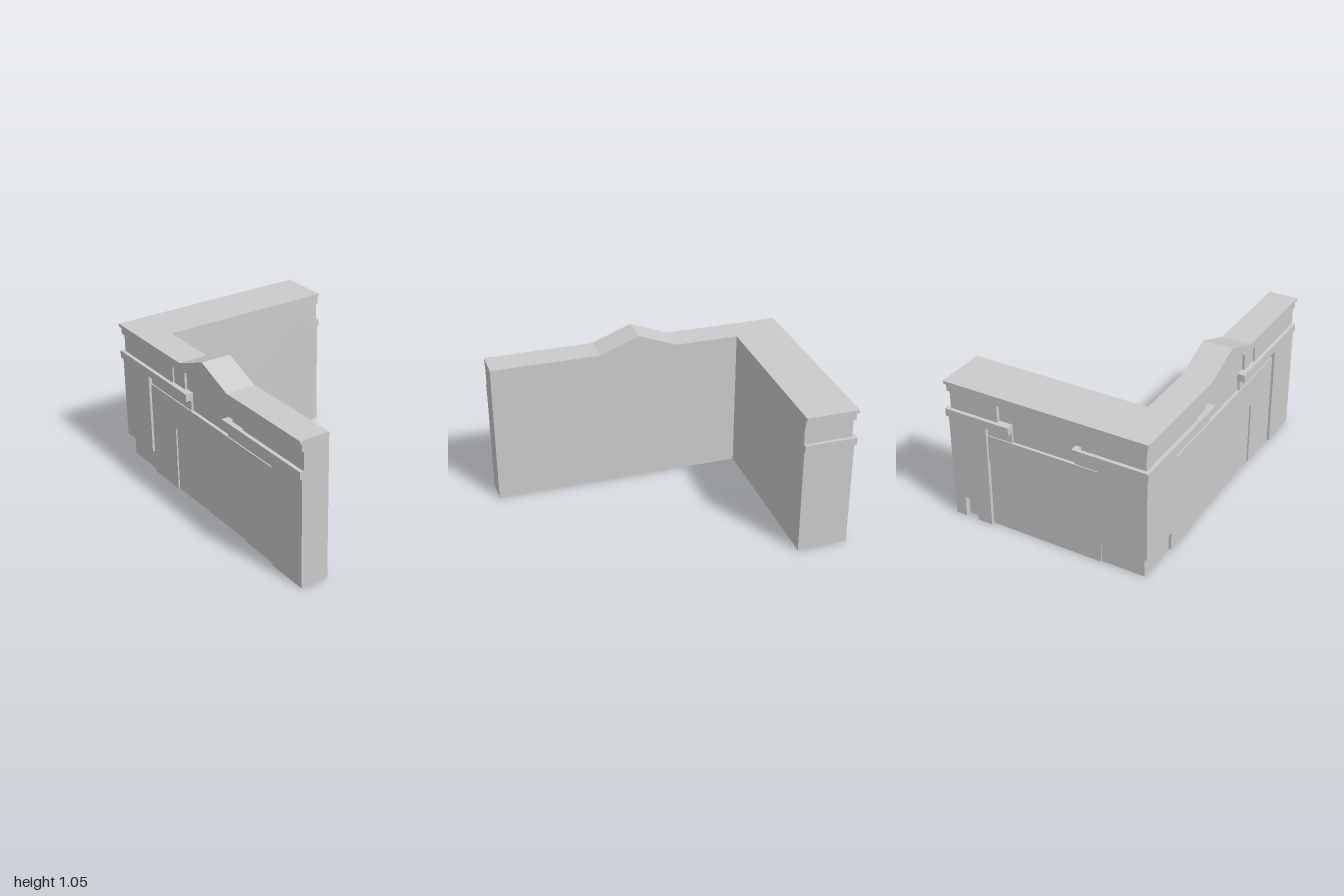
import * as THREE from 'three';

const Z = 0.685, BACK = 0.49, INNER = -0.66;

export function createModel() {
  const group = new THREE.Group();
  const material = new THREE.MeshStandardMaterial({ color: 0xcccccc });

  const add = (name, geometry) => {
    const mesh = new THREE.Mesh(geometry, material);
    mesh.name = name;
    group.add(mesh);
  };
  const box = (name, x0, x1, y0, y1, z0, z1) => {
    const g = new THREE.BoxGeometry(x1 - x0, y1 - y0, z1 - z0);
    g.translate((x0 + x1) / 2, (y0 + y1) / 2, (z0 + z1) / 2);
    add(name, g);
  };
  // Facing slabs; inset is the depth behind the outermost face
  const front = (name, x0, x1, y0, y1, inset) =>
    box(name, Math.max(x0, -1 + inset), x1, y0, y1, 0.6, Z - inset);
  const side = (name, z0, z1, y0, y1, inset) =>
    box(name, -1 + inset, -0.9, y0, y1, Math.max(z0, -Z + inset), Math.min(z1, Z - inset));
  const end = (name, y0, y1, inset) =>
    box(name, -1 + inset, INNER, y0, y1, -Z + inset, -0.6);

  // Front pieces that follow the gable: top edge y1, bottom edge y0
  const gable = (name, x0, y0, y1, z0, z1, flatBottom = false) => {
    const pts = [[x0, y1], [-0.24, y1], [0.02, y1 + 0.1], [0.28, y1], [1, y1], [1, y0]];
    if (!flatBottom) pts.push([0.28, y0], [0.02, y0 + 0.1], [-0.24, y0]);
    pts.push([x0, y0]);
    const shape = new THREE.Shape(pts.map(p => new THREE.Vector2(...p)).reverse());
    const g = new THREE.ExtrudeGeometry(shape, { depth: z1 - z0, bevelEnabled: false });
    add(name, g.translate(0, 0, z0));
  };

  // Core walls of the two wings
  gable('frontWingCore', -0.95, 0, 0.93, BACK, Z - 0.05, true);
  box('sideWingCore', -0.95, INNER, 0, 0.93, -Z + 0.05, BACK);

  // Cornice and the band beneath it
  gable('frontCornice', -1, 0.93, 0.95, BACK, Z);
  box('sideCornice', -1, INNER, 0.93, 0.95, -Z, BACK);
  gable('frontCorniceBand', -0.988, 0.88, 0.93, 0.6, Z - 0.012);
  side('sideCorniceBand', -Z, Z, 0.88, 0.93, 0.012);
  end('endCorniceBand', 0.88, 0.93, 0.012);

  // Frieze
  front('frontFrieze', -1, -0.37, 0.76, 0.88, 0.024);
  front('frontFrieze', 0.41, 1, 0.76, 0.88, 0.024);
  front('friezeStrip', -0.37, -0.245, 0.76, 0.88, 0.034);
  front('friezeStrip', 0.285, 0.41, 0.76, 0.88, 0.034);
  side('sideFrieze', -Z, -0.33, 0.76, 0.88, 0.024);
  side('sideFrieze', 0.24, Z, 0.76, 0.88, 0.024);
  end('endFrieze', 0.76, 0.88, 0.024);

  // Ledges, broken at the centre of each facade
  front('frontLedge', -1, -0.18, 0.71, 0.76, 0);
  front('frontLedge', 0.22, 1, 0.71, 0.76, 0);
  side('sideLedge', -Z, -0.24, 0.71, 0.76, 0);
  side('sideLedge', 0.19, Z, 0.71, 0.76, 0);
  end('endLedge', 0.71, 0.76, 0);

  // Wall beneath the ledges
  front('ledgeSupport', -0.66, -0.18, 0.64, 0.71, 0.036);
  front('ledgeSupport', 0.23, 0.71, 0.64, 0.71, 0.036);
  side('ledgeSupport', -0.41, -0.24, 0.64, 0.71, 0.036);
  side('ledgeSupport', 0.19, 0.353, 0.64, 0.71, 0.036);

  // Front wall around the entrance recess
  front('frontWall', -0.66, -0.37, 0, 0.64, 0.028);
  front('frontWall', 0.41, 0.71, 0, 0.64, 0.028);
  front('frontWall', -0.37, 0.41, 0.44, 0.64, 0.028);
  front('entrancePanel', -0.37, 0.41, 0, 0.44, 0.038);

  // Side wall
  side('sideWall', -0.41, 0.353, 0.46, 0.64, 0.03);
  side('sidePanel', -0.41, 0.353, 0, 0.46, 0.036);

  // Pilasters; the front corner one stands on a recessed foot
  front('rightFrontPilaster', 0.71, 1, 0, 0.71, 0.012);
  front('cornerPilaster', -1, -0.66, 0.15, 0.71, 0.012);
  side('cornerPilaster', 0.353, Z, 0.15, 0.71, 0.012);
  front('cornerFoot', -1, -0.66, 0, 0.15, 0.045);
  side('cornerFoot', 0.353, Z, 0, 0.15, 0.045);

  // Rear pilaster with a small niche at the ground
  end('rearPilaster', 0, 0.71, 0.012);
  side('rearPilaster', -0.61, -0.41, 0.14, 0.71, 0.012);
  side('rearPilasterFoot', -0.51, -0.41, 0, 0.14, 0.012);
  side('rearPilasterFoot', -Z, -0.61, 0, 0.14, 0.012);

  return group;
}
